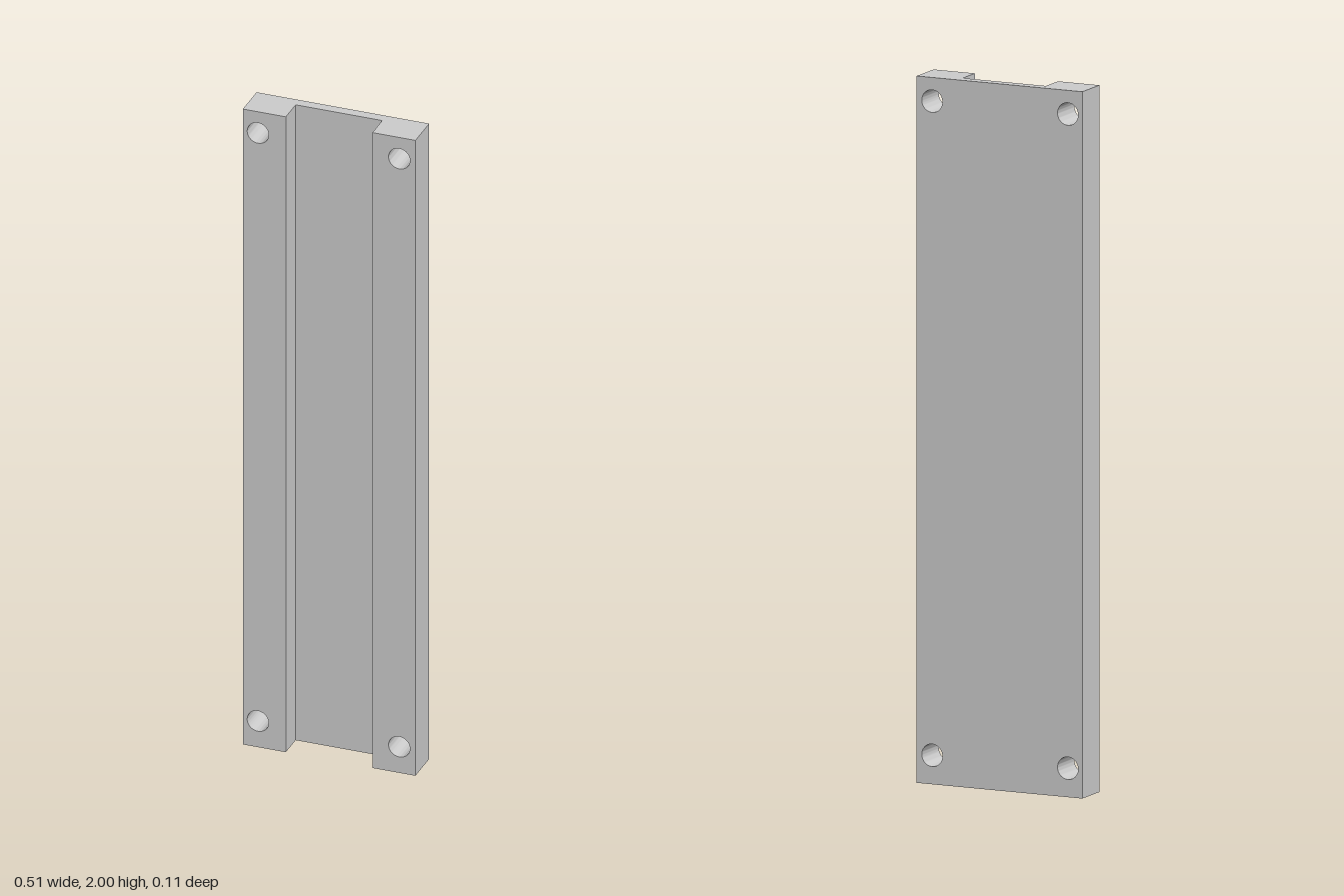
import * as THREE from 'three';
import { toCreasedNormals } from 'three/addons/utils/BufferGeometryUtils.js';

const HEIGHT = 2;
const OUTER = 0.257;   // half width of the whole channel
const INNER = 0.129;   // half width of the groove
const BACK = -0.053;
const FRONT = 0.053;
const WEB_FRONT = -0.023;
const HOLE_RADIUS = 0.032;
const HOLE_HEIGHTS = [0.082, 1.933];

const material = new THREE.MeshStandardMaterial({ color: 0xcccccc });

// Upright slab between x0 and x1, from the back face to zFront, with round through holes
function slab(name, x0, x1, zFront, holes = []) {
  const shape = new THREE.Shape();
  shape.moveTo(x0, 0).lineTo(x1, 0).lineTo(x1, HEIGHT).lineTo(x0, HEIGHT).closePath();
  for (const [x, y] of holes) {
    shape.holes.push(new THREE.Path().absarc(x, y, HOLE_RADIUS, 0, Math.PI * 2, true));
  }
  const geometry = new THREE.ExtrudeGeometry(shape, {
    depth: zFront - BACK, bevelEnabled: false, curveSegments: 32,
  });
  geometry.translate(0, 0, BACK);
  const mesh = new THREE.Mesh(toCreasedNormals(geometry, 0.5), material);
  mesh.name = name;
  return mesh;
}

export function createModel() {
  const group = new THREE.Group();
  group.name = 'channelPlate';

  // Thin web at the back of the groove
  group.add(slab('web', -INNER, INNER, WEB_FRONT));

  // Thick side rails with a screw hole near each end
  const holesAt = (x) => HOLE_HEIGHTS.map((y) => [x, y]);
  group.add(slab('leftRail', INNER, OUTER, FRONT, holesAt(0.209)));
  group.add(slab('rightRail', -OUTER, -INNER, FRONT, holesAt(-0.212)));

  return group;
}
